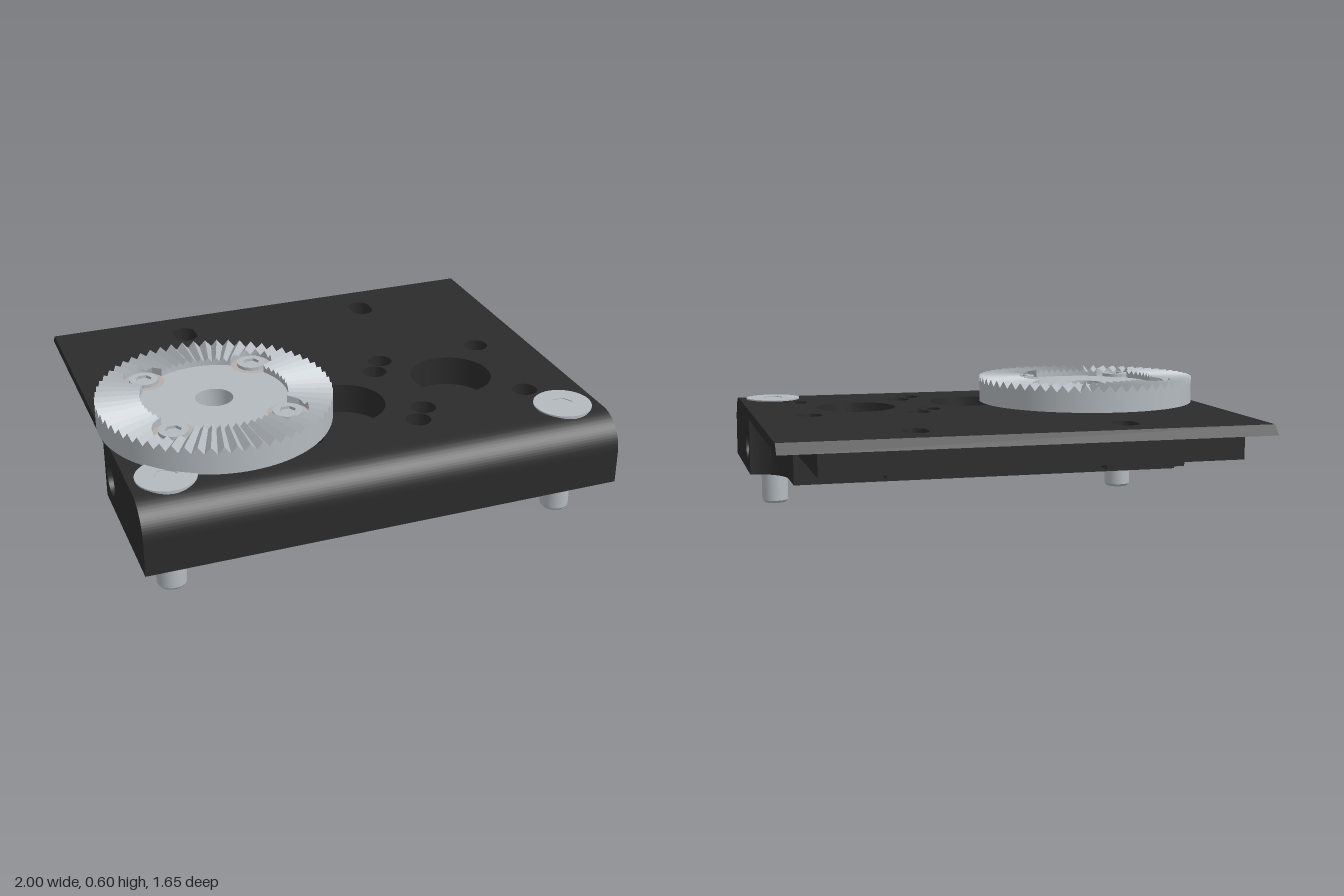
import * as THREE from 'three';
import { toCreasedNormals } from 'three/addons/utils/BufferGeometryUtils.js';

const black = new THREE.MeshStandardMaterial({ color: 0x2b2b2b });
const steel = new THREE.MeshStandardMaterial({ color: 0xb4babf });
const bore = new THREE.MeshStandardMaterial({ color: 0xb5aeaa });

const W = 0.9925, CORE = 0.845, TOP = 0.48, LIP = 0.44;
const GEAR = { x: -0.528, z: 0.2, inner: 0.3, outer: 0.48, floor: 0.56, top: 0.595 };
const BOLT = 0.233; // half spacing of the square bolt patterns

function add(parent, name, geometry, material) {
  const mesh = new THREE.Mesh(geometry, material);
  mesh.name = name;
  parent.add(mesh);
  return mesh;
}

// Plan outlines use (x, -z) so that they can be laid flat
const circle = (x, z, r) => new THREE.Path().absarc(x, -z, r, 0, Math.PI * 2, true);

function rect(x0, x1, z0, z1, holes = []) {
  const s = new THREE.Shape([[x0, -z1], [x1, -z1], [x1, -z0], [x0, -z0]].map(p => new THREE.Vector2(...p)));
  s.holes = holes;
  return s;
}

function slot(x, z, r = 0.05, half = 0.02) {
  return new THREE.Path()
    .absarc(x, -z + half, r, 0, Math.PI, false)
    .absarc(x, -z - half, r, Math.PI, Math.PI * 2, false)
    .closePath();
}

function extrude(shape, depth) {
  const g = new THREE.ExtrudeGeometry(shape, { depth, bevelEnabled: false, curveSegments: 20 });
  return g;
}

// Horizontal layer between two heights
const layer = (shape, y0, y1) =>
  toCreasedNormals(extrude(shape, y1 - y0).rotateX(-Math.PI / 2).translate(0, y0, 0), 0.6);

// Side profile in (z, y) swept across x
const sweep = (shape, x0, x1) =>
  toCreasedNormals(extrude(shape, x1 - x0).rotateY(-Math.PI / 2).translate(x1, 0, 0), 0.6);

function buildBody() {
  const body = new THREE.Group();
  body.name = 'basePlate';

  const slots = () => [-0.43, 0.43].map(x => slot(x, -0.6));
  const bores = () => [[-0.528, 0.2], [0, 0.29], [0.528, 0.2]].flatMap(([x, z]) => [
    circle(x, z, 0.172),
    ...[[-1, -1], [1, -1], [-1, 1], [1, 1]].map(([i, j]) => circle(x + i * BOLT, z + j * BOLT, 0.052)),
  ]);

  // Full-width top plate, narrower core with blind bores, solid lower block
  add(body, 'topPlate', layer(rect(-W, W, -0.785, 0.685, [...slots(), ...bores()]), LIP, TOP), black);
  add(body, 'core', layer(rect(-CORE, CORE, -0.825, 0.685, [...slots(), ...bores()]), 0.35, LIP), black);
  add(body, 'lowerBlock', layer(rect(-CORE, CORE, -0.115, 0.685), 0.2, 0.35), black);

  // Chamfered rear edge
  const rear = new THREE.Shape();
  rear.moveTo(-0.825, LIP).lineTo(-0.785, LIP).lineTo(-0.785, TOP).closePath();
  add(body, 'rearChamfer', sweep(rear, -W, W), black);

  // Rounded front edge
  const nose = new THREE.Shape();
  nose.moveTo(0.685, 0.2).lineTo(0.825, 0.2).lineTo(0.825, 0.34);
  nose.absarc(0.685, 0.34, 0.14, 0, Math.PI / 2, false);
  add(body, 'frontNose', sweep(nose, -W, W), black);

  for (const s of [-1, 1]) {
    // End blocks with a round side hole
    const end = new THREE.Shape();
    end.moveTo(0.2, 0.2).lineTo(0.685, 0.2).lineTo(0.685, LIP).lineTo(0.2, LIP).closePath();
    end.holes = [new THREE.Path().absarc(0.3, 0.32, 0.063, 0, Math.PI * 2, true)];
    add(body, 'endBlock', sweep(end, s > 0 ? CORE : -W, s > 0 ? W : -CORE), black);

    // Concave fillet behind each end block
    const r = W - CORE;
    const fillet = new THREE.Shape();
    fillet.moveTo(s * CORE, -0.2).lineTo(s * W, -0.2);
    fillet.absarc(s * W, -0.2 + r, r, -Math.PI / 2, s > 0 ? -Math.PI : 0, s > 0);
    fillet.closePath();
    add(body, 'cornerFillet', layer(fillet, 0.2, LIP), black);

    // Thin pad around each slot on the underside
    const x = s * 0.43;
    const pad = new THREE.Shape();
    pad.moveTo(x + 0.16, 0.825).lineTo(x - 0.16, 0.825).lineTo(x - 0.16, 0.4);
    pad.absarc(x - 0.06, 0.4, 0.1, Math.PI, Math.PI * 1.5, false);
    pad.absarc(x + 0.06, 0.4, 0.1, Math.PI * 1.5, Math.PI * 2, false);
    pad.closePath();
    pad.holes = [slot(x, -0.6)];
    add(body, 'slotPad', layer(pad, 0.335, 0.35), black);
  }
  return body;
}

// Screw head ring with a hexagonal socket, at the origin
function buildHead(radius, socket, y0, y1) {
  const g = new THREE.Group();
  g.name = 'screwHead';
  const s = new THREE.Shape().absarc(0, 0, radius, 0, Math.PI * 2, false);
  s.holes = [new THREE.Path(Array.from({ length: 6 }, (_, i) =>
    new THREE.Vector2(Math.cos(-i * Math.PI / 3), Math.sin(-i * Math.PI / 3)).multiplyScalar(socket)))];
  add(g, 'headRing', layer(s, y0, y1), steel);
  add(g, 'socketFloor', new THREE.CircleGeometry(socket * 1.1, 24).rotateX(-Math.PI / 2).translate(0, y0 + 0.002, 0), steel);
  return g;
}

// Ring of radial V teeth, cut away around the four screws
function toothRing() {
  const teeth = 60, per = 6, n = teeth * per, cut = 0.085, d = BOLT * Math.SQRT2;
  const pos = [], index = [];
  const { inner, outer, floor, top } = GEAR;
  for (let j = 0; j < n; j++) {
    const t = (j / n) * Math.PI * 2;
    const wave = Math.abs(((j % per) / per) * 2 - 1); // 1 on a ridge, 0 in a valley
    const y = r => top - (1 - wave) * 0.062 * r;
    const off = (t % (Math.PI / 2)) - Math.PI / 4;
    const q = cut * cut - (d * Math.sin(off)) ** 2;
    const start = q > 0 ? Math.max(inner, d * Math.cos(off) + Math.sqrt(q)) : inner;
    const profile = [[inner, floor], [start, floor], [start, y(start)], [outer, y(outer)], [outer, TOP]];
    for (const [r, h] of profile) pos.push(r * Math.cos(t), h, r * Math.sin(t));
    for (let k = 0; k < 4; k++) {
      const a = j * 5 + k, e = ((j + 1) % n) * 5 + k;
      index.push(a, e, e + 1, a, e + 1, a + 1);
    }
  }
  const g = new THREE.BufferGeometry();
  g.setAttribute('position', new THREE.Float32BufferAttribute(pos, 3));
  g.setIndex(index);
  return toCreasedNormals(g, 0.2);
}

function buildGear() {
  const gear = new THREE.Group();
  gear.name = 'toothedRosette';
  gear.position.set(GEAR.x, 0, GEAR.z);
  add(gear, 'toothRing', toothRing(), steel);
  const disc = new THREE.Shape().absarc(0, 0, GEAR.inner + 0.001, 0, Math.PI * 2, false);
  disc.holes = [circle(0, 0, 0.077)];
  add(gear, 'centreDisc', layer(disc, TOP, GEAR.floor), steel);
  // Underside between the disc and the rim
  add(gear, 'underside', new THREE.RingGeometry(GEAR.inner, GEAR.outer, 64).rotateX(Math.PI / 2).translate(0, TOP + 0.001, 0), steel);
  for (const i of [-1, 1]) for (const j of [-1, 1]) {
    const seat = add(gear, 'screwSeat', new THREE.CircleGeometry(0.084, 32).rotateX(-Math.PI / 2), bore);
    seat.position.set(i * BOLT, GEAR.floor + 0.002, j * BOLT);
    const head = buildHead(0.06, 0.034, GEAR.floor + 0.002, GEAR.floor + 0.016);
    head.position.set(i * BOLT, 0, j * BOLT);
    gear.add(head);
  }
  return gear;
}

export function createModel() {
  const model = new THREE.Group();
  model.name = 'mountingPlate';
  model.position.x = 0.0075;
  model.add(buildBody(), buildGear());

  // Front mounting screws: flush head above, chamfered shank below
  const shank = [[0, 0], [0.05, 0], [0.06, 0.012], [0.06, 0.3]].map(p => new THREE.Vector2(...p));
  for (const s of [-1, 1]) {
    const screw = new THREE.Group();
    screw.name = 'mountingScrew';
    screw.position.set(s * 0.843, 0, 0.61);
    add(screw, 'shank', toCreasedNormals(new THREE.LatheGeometry(shank, 32), 0.5), steel);
    const head = buildHead(0.12, 0.048, TOP + 0.001, TOP + 0.006);
    add(head, 'headBody', new THREE.CylinderGeometry(0.12, 0.12, 0.08, 40, 1, true).translate(0, TOP - 0.036, 0), steel);
    screw.add(head);
    model.add(screw);
  }
  const wrapper = new THREE.Group();
  wrapper.name = 'plateAssembly';
  wrapper.add(model);
  return wrapper;
}
